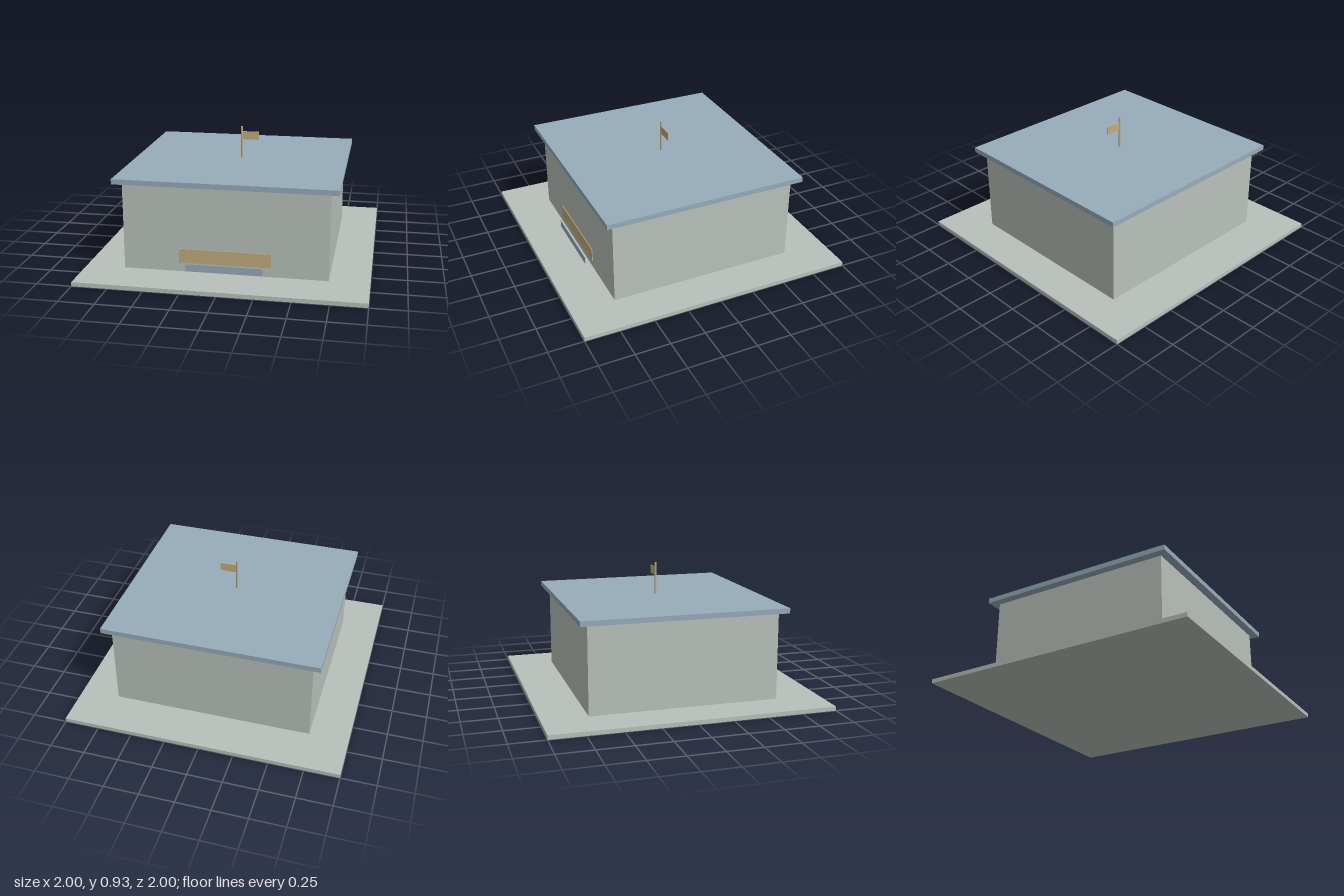
import * as THREE from 'three';

export function createModel() {
  const model = new THREE.Group();
  model.name = 'pavilion';

  const stone = new THREE.MeshStandardMaterial({ color: 0xb9c1bb });
  stone.name = 'pale stone';
  const slate = new THREE.MeshStandardMaterial({ color: 0x97acba });
  slate.name = 'slate blue';
  const tan = new THREE.MeshStandardMaterial({ color: 0xc3ac7d });
  tan.name = 'tan';

  const add = (name, geometry, material, x, y, z) => {
    const mesh = new THREE.Mesh(geometry, material);
    mesh.name = name;
    mesh.position.set(x, y, z);
    model.add(mesh);
  };
  // Box given by its bottom height y
  const box = (name, material, w, h, d, x, y, z) =>
    add(name, new THREE.BoxGeometry(w, h, d), material, x, y + h / 2, z);

  // Building
  box('groundSlab', stone, 2, 0.03, 2, 0, 0, 0);
  box('walls', stone, 1.44, 0.63, 1.355, 0, 0.03, 0);
  box('roof', slate, 1.556, 0.037, 1.47, 0, 0.656, 0);

  // Panels standing just off the front wall
  box('frontSign', tan, 0.646, 0.1, 0.006, 0, 0.1, 0.687);
  box('frontStep', slate, 0.54, 0.052, 0.004, 0, 0.052, 0.724);

  // Flag on the roof, its pole sunk into the roof
  add('flagPole', new THREE.CylinderGeometry(0.008, 0.008, 0.288, 12), tan, 0, 0.786, 0);
  box('flag', tan, 0.12, 0.06, 0.006, 0.065, 0.832, 0);

  return model;
}
